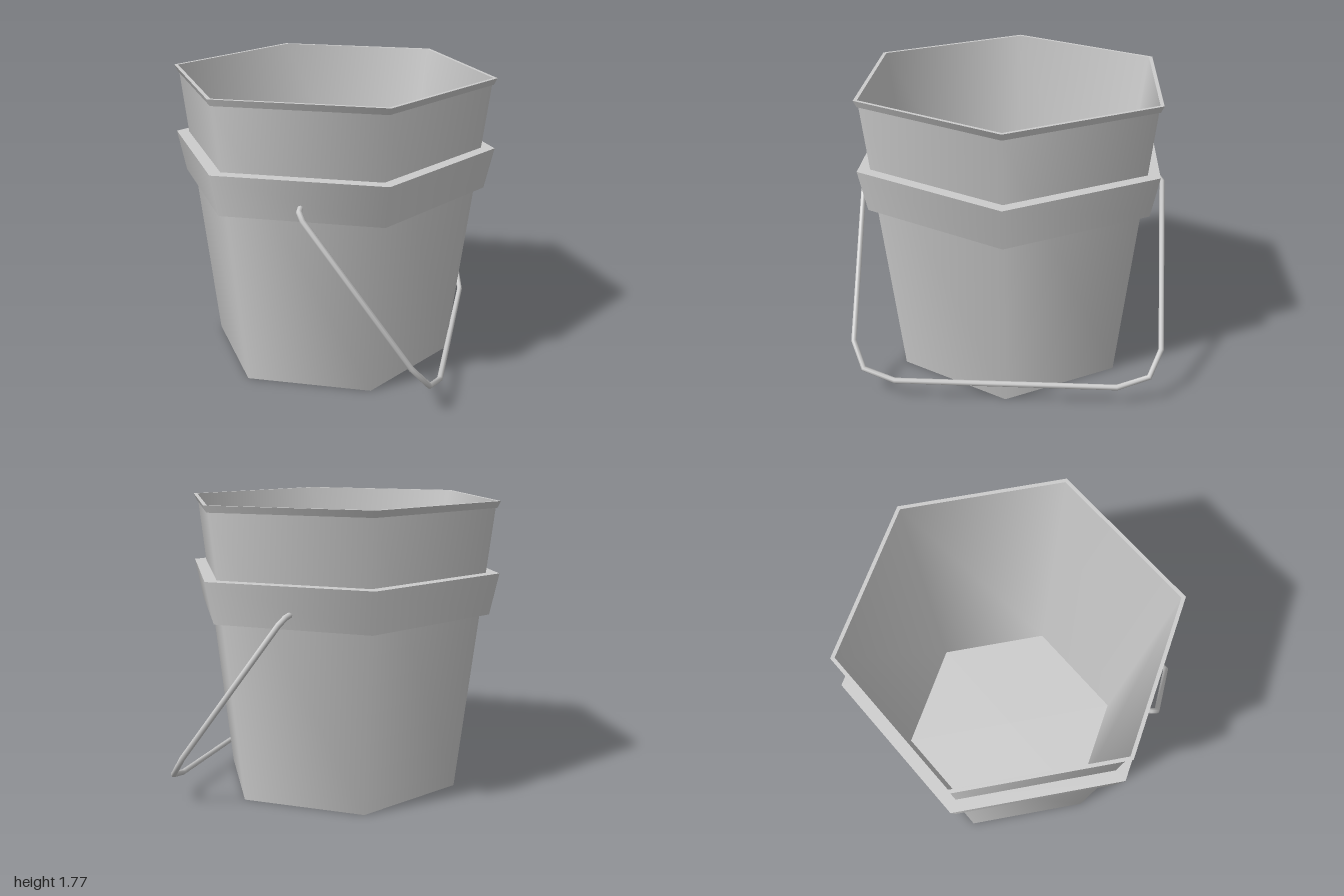
import * as THREE from 'three';
import { mergeGeometries } from 'three/addons/utils/BufferGeometryUtils.js';

const material = new THREE.MeshStandardMaterial({ color: 0xcccccc });

// Six-sided turned shell: smooth around the sides, sharp between profile segments.
function hexShell(name, profile) {
  const pieces = [];
  for (let i = 0; i < profile.length - 1; i++) {
    const segment = [profile[i], profile[i + 1]].map(([r, y]) => new THREE.Vector2(r, y));
    pieces.push(new THREE.LatheGeometry(segment, 6, Math.PI / 2));
  }
  const mesh = new THREE.Mesh(mergeGeometries(pieces), material);
  mesh.name = name;
  return mesh;
}

// Path with straight runs whose corners bisect the neighbouring runs.
class Polyline extends THREE.Curve {
  constructor(points) {
    super();
    this.points = points;
  }
  getPointAt(u) {
    return this.points[Math.round(u * (this.points.length - 1))].clone();
  }
  getTangentAt(u) {
    const p = this.points, i = Math.round(u * (p.length - 1));
    const tangent = new THREE.Vector3();
    if (i > 0) tangent.add(p[i].clone().sub(p[i - 1]).normalize());
    if (i < p.length - 1) tangent.add(p[i + 1].clone().sub(p[i]).normalize());
    return tangent.normalize();
  }
}

export function createModel() {
  const model = new THREE.Group();
  model.name = 'bucket';

  // Tapered body: recessed underside, outer wall, rim lip, inner wall and floor
  model.add(hexShell('body', [
    [0, 0.04], [0.71, 0.04], [0.755, 0], [0.965, 1.735], [0.975, 1.735],
    [0.995, 1.775], [0.97, 1.775], [0.71, 0.05], [0, 0.05],
  ]));

  // Flared band around the upper wall
  model.add(hexShell('band', [
    [0.88, 1.1], [0.945, 1.1], [1.0, 1.35], [0.91, 1.35],
  ]));

  // Bail handle hanging to one side: [distance along the swing, z], mirrored in z
  const half = [[0, 0.8], [0.01, 0.885], [0.045, 0.92], [0.825, 0.92], [0.95, 0.85], [1, 0.66]];
  const outline = [...half, [1, 0], ...half.map(([s, z]) => [s, -z]).reverse()];
  const path = new Polyline(outline.map(([s, z]) => new THREE.Vector3(0.785 * s, 1.19 - 1.06 * s, z)));
  const handle = new THREE.Mesh(new THREE.TubeGeometry(path, outline.length - 1, 0.017, 8), material);
  handle.name = 'handle';
  model.add(handle);

  return model;
}
